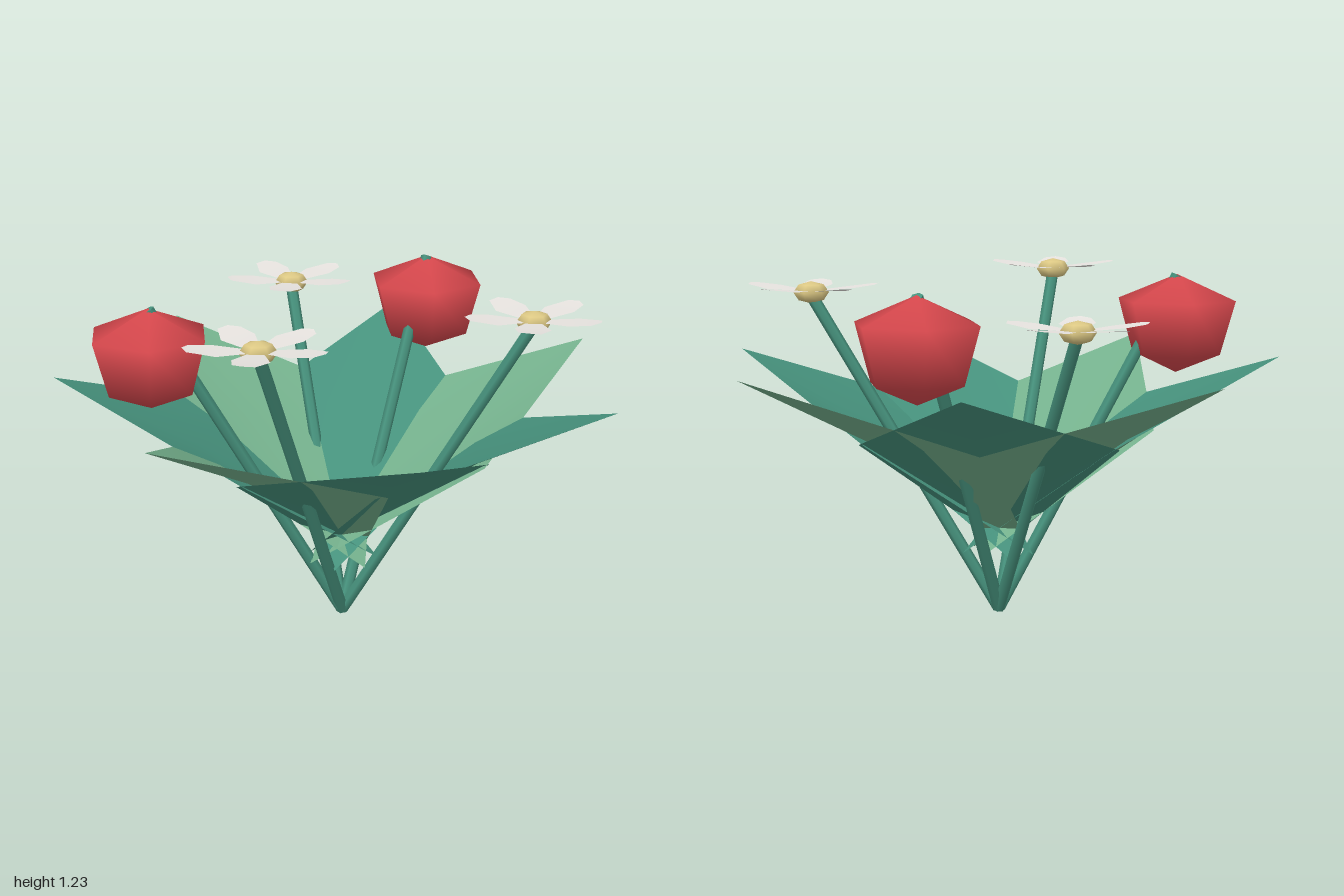
import * as THREE from 'three';

const material = (name, color, side = THREE.FrontSide) => {
  const m = new THREE.MeshStandardMaterial({ color, side });
  m.name = name;
  return m;
};

const CENTRE_X = -0.05;

export function createModel() {
  const teal = material('teal stem', 0x46917c);
  const tealLeaf = material('teal leaf', 0x46917c, THREE.DoubleSide);
  tealLeaf.color = teal.color;
  const green = material('light green leaf', 0x74b08c, THREE.DoubleSide);
  const red = material('red bloom', 0xd5474c);
  const white = material('white petal', 0xe6e2de, THREE.DoubleSide);
  const yellow = material('yellow disc', 0xdcc884);

  const model = new THREE.Group();
  model.name = 'flowerPlant';

  const add = (parent, name, geometry, mat) => {
    const mesh = new THREE.Mesh(geometry, mat);
    mesh.name = name;
    parent.add(mesh);
    return mesh;
  };

  // Thin surface from corner points and triangles, smooth across its creases
  const sheet = (points, faces) => {
    const g = new THREE.BufferGeometry();
    g.setAttribute('position', new THREE.Float32BufferAttribute(points.flat(), 3));
    g.setIndex(faces.flat());
    g.computeVertexNormals();
    return g;
  };

  // Folded leaf along +x: base, midrib, tip and two raised side corners
  const leafGeometry = sheet(
    [[-0.13, 0.22, 0], [0.52, 0.665, 0], [1.02, 0.92, 0], [0.33, 0.66, 0.45], [0.33, 0.66, -0.45]],
    [[0, 3, 1], [1, 3, 2], [0, 1, 4], [1, 2, 4]]
  );
  for (let i = 0; i < 7; i++) {
    const lightLeaf = i === 2 || i === 4 || i === 6;
    const leaf = add(model, 'leaf', leafGeometry, lightLeaf ? green : tealLeaf);
    leaf.position.x = CENTRE_X;
    leaf.rotation.y = -i * Math.PI * 2 / 7;
  }

  // Straight stem from the root to a flower
  const stemBottom = new THREE.Vector3(CENTRE_X, 0.012, 0);
  const addStem = (parent, x, y, z) => {
    const top = new THREE.Vector3(x, y, z);
    const dir = top.clone().sub(stemBottom);
    const stem = add(parent, 'stem', new THREE.CylinderGeometry(0.022, 0.022, dir.length(), 6), teal);
    stem.position.copy(stemBottom).add(top).multiplyScalar(0.5);
    stem.quaternion.setFromUnitVectors(new THREE.Vector3(0, 1, 0), dir.normalize());
  };

  // Six-sided red blooms
  const bloomProfile = [[0, -0.215], [0.165, -0.145], [0.22, 0.052], [0, 0.145]]
    .map(([r, y]) => new THREE.Vector2(r, y));
  const bloomGeometry = new THREE.LatheGeometry(bloomProfile, 6, Math.PI / 6);
  for (const [x, y, z] of [[-0.59, 1.065, 0.415], [-0.005, 1.065, -0.675]]) {
    const flower = new THREE.Group();
    flower.name = 'redFlower';
    addStem(flower, x, y + 0.14, z);
    add(flower, 'bloom', bloomGeometry, red).position.set(x, y, z);
    model.add(flower);
  }

  // White flowers: five blunt petals around a flattened disc
  const petalGeometry = sheet(
    [[0.02, 0, 0.02], [0.02, 0, -0.02], [0.145, 0.012, 0.062], [0.145, 0.008, -0.062],
      [0.22, 0.02, 0.048], [0.245, 0.024, 0.012], [0.235, 0.02, -0.03]],
    [[0, 2, 1], [1, 2, 3], [2, 4, 3], [3, 4, 6], [4, 5, 6]]
  );
  const discGeometry = new THREE.SphereGeometry(0.064, 6, 4);
  discGeometry.rotateY(Math.PI / 6).scale(1, 0.62, 1);
  for (const [x, y, z] of [[0.61, 1.155, -0.155], [-0.5, 1.09, -0.515], [-0.03, 1.195, 0.68]]) {
    const flower = new THREE.Group();
    flower.name = 'whiteFlower';
    addStem(flower, x, y - 0.01, z);
    add(flower, 'disc', discGeometry, yellow).position.set(x, y, z);
    for (let i = 0; i < 5; i++) {
      const petal = add(flower, 'petal', petalGeometry, white);
      petal.position.set(x, y + 0.005, z);
      petal.rotation.y = i * Math.PI * 2 / 5;
    }
    model.add(flower);
  }

  return model;
}
